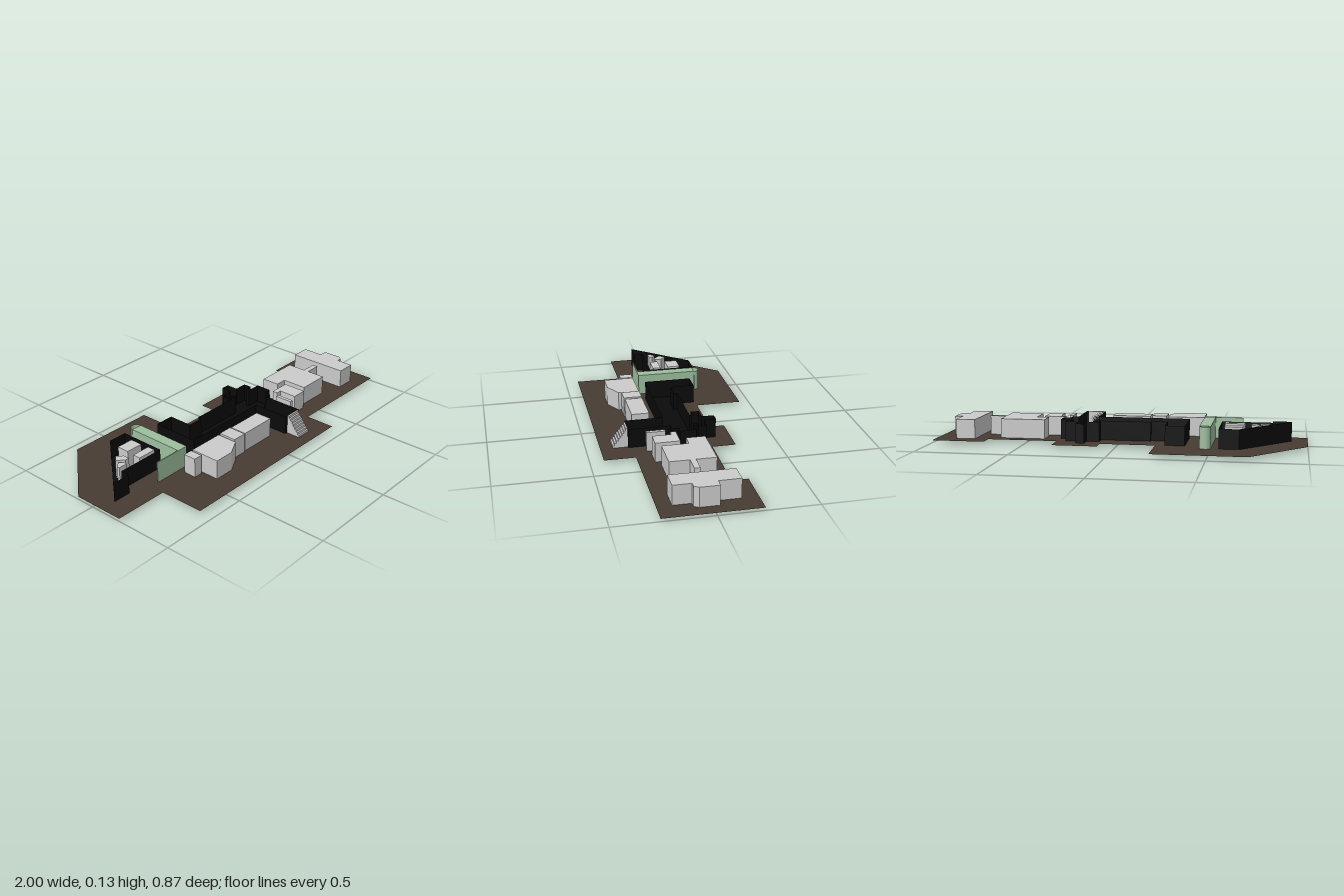
import * as THREE from 'three';

const BASE = 0.015, TOP = 0.12;

const material = (color) =>
  new THREE.MeshStandardMaterial({ color, flatShading: true, side: THREE.DoubleSide });

// Plan outlines are [x, z] pairs
const planShape = (pts) => new THREE.Shape(pts.map(([x, z]) => new THREE.Vector2(x, -z)));
const rect = (x0, x1, z0, z1) => [[x0, z0], [x1, z0], [x1, z1], [x0, z1]];

function addMesh(parent, name, geometry, mat) {
  const mesh = new THREE.Mesh(geometry, mat);
  mesh.name = name;
  parent.add(mesh);
  return mesh;
}

// Upright prism over a plan outline
function prism(parent, name, pts, mat, y0 = BASE, y1 = TOP) {
  const geo = new THREE.ExtrudeGeometry(planShape(pts), { depth: y1 - y0, bevelEnabled: false });
  geo.rotateX(-Math.PI / 2);
  geo.translate(0, y0, 0);
  return addMesh(parent, name, geo, mat);
}

// Roofless room: thin floor plus one wall per outline edge
function openRoom(parent, name, pts, mat) {
  const room = new THREE.Group();
  room.name = name;
  prism(room, 'floor', pts, mat, 0.012, 0.018);
  pts.forEach(([x0, z0], i) => {
    const [x1, z1] = pts[(i + 1) % pts.length];
    const geo = new THREE.PlaneGeometry(Math.hypot(x1 - x0, z1 - z0), TOP - BASE);
    geo.rotateY(-Math.atan2(z1 - z0, x1 - x0));
    geo.translate((x0 + x1) / 2, (BASE + TOP) / 2, (z0 + z1) / 2);
    addMesh(room, 'wall', geo, mat);
  });
  parent.add(room);
}

export function createModel() {
  const model = new THREE.Group();
  model.name = 'sitePlan';
  const grey = material(0xcccccc);
  const black = material(0x0a0a0a);
  const green = material(0x9dbf9e);
  const brown = material(0x483c32);

  // Ground sheet
  const ground = new THREE.ShapeGeometry(planShape([
    [-1, -0.1], [-0.705, -0.44], [-0.21, -0.44], [-0.21, -0.19], [0.085, -0.19], [0.085, -0.27],
    [0.33, -0.27], [0.33, -0.145], [0.71, -0.145], [0.71, -0.23], [1, -0.23], [1, 0.265],
    [0.37, 0.265], [0.37, 0.43], [-0.705, 0.43], [-0.705, 0.185], [-1, 0.185],
  ]));
  ground.rotateX(-Math.PI / 2);
  ground.translate(0, BASE, 0);
  addMesh(model, 'ground', ground, brown);

  // Dark rooms
  openRoom(model, 'cornerRoom', [
    [-0.915, 0.065], [-0.65, -0.24], [-0.545, -0.24], [-0.545, 0.015], [-0.815, 0.015], [-0.815, 0.065],
  ], black);
  openRoom(model, 'mainHall', [
    [-0.365, -0.18], [-0.26, -0.18], [-0.26, -0.045], [-0.17, -0.045], [-0.17, -0.065],
    [0.14, -0.065], [0.14, -0.08], [0.1, -0.08], [0.1, -0.125], [0.17, -0.125], [0.17, -0.19],
    [0.215, -0.19], [0.215, -0.125], [0.285, -0.125], [0.285, -0.08], [0.25, -0.08], [0.25, -0.06],
    [0.325, -0.06], [0.325, 0.025], [0.285, 0.025], [0.285, 0.06], [0.25, 0.06], [0.25, 0.285],
    [0.14, 0.285], [0.14, 0.08], [-0.365, 0.08],
  ], black);

  // Blocks standing inside the corner room
  [
    rect(-0.665, -0.57, -0.165, -0.095),
    rect(-0.67, -0.565, -0.05, -0.005),
    [[-0.765, -0.08], [-0.735, -0.11], [-0.705, -0.08], [-0.705, -0.045], [-0.73, -0.045]],
    [[-0.8, -0.03], [-0.77, -0.055], [-0.75, -0.035], [-0.75, -0.015], [-0.8, -0.015]],
  ].forEach((pts) => prism(model, 'innerBlock', pts, grey));

  // Buildings along the front
  prism(model, 'endShed', rect(-0.5, -0.45, 0.14, 0.21), grey);
  prism(model, 'angledBuilding', [
    [-0.44, 0.14], [-0.24, 0.14], [-0.24, 0.255], [-0.33, 0.305], [-0.44, 0.305],
  ], grey);
  prism(model, 'linkBuilding', rect(-0.23, -0.15, 0.14, 0.24), grey, 0.012, 0.124);
  prism(model, 'longBuilding', rect(-0.14, 0.07, 0.14, 0.235), grey);

  // Buildings on the left side
  prism(model, 'narrowBlock', rect(0.29, 0.31, 0.1, 0.2), grey);
  prism(model, 'smallBuilding', [
    [0.325, 0.05], [0.44, 0.05], [0.44, 0.18], [0.355, 0.18], [0.355, 0.08], [0.325, 0.08],
  ], grey);
  prism(model, 'largeBuilding', [
    [0.41, -0.085], [0.655, -0.085], [0.655, 0.02], [0.745, 0.02], [0.745, 0.05],
    [0.655, 0.05], [0.655, 0.155], [0.475, 0.155], [0.475, 0.015], [0.41, 0.015],
  ], grey);
  prism(model, 'farBuilding', [
    [0.785, -0.145], [0.89, -0.145], [0.89, -0.03], [0.935, -0.03], [0.935, 0.07],
    [0.92, 0.095], [0.89, 0.095], [0.89, 0.19], [0.785, 0.19],
  ], grey);

  // Staircase up to the hall
  const steps = 8;
  for (let i = 0; i < steps; i++) {
    const z0 = 0.285 + i * 0.01;
    const y1 = TOP - i * (TOP - BASE) / steps;
    prism(model, 'step', rect(0.155, 0.24, z0, z0 + 0.01), grey, BASE, y1);
  }

  // Green wall with a rounded, open end and a thin side arm
  prism(model, 'greenWall', rect(-0.505, -0.445, -0.225, 0.1), green, 0, 0.13);
  const round = new THREE.CylinderGeometry(0.03, 0.03, 0.13, 16, 1, true, Math.PI / 2, Math.PI);
  round.translate(-0.475, 0.065, -0.227);
  const end = addMesh(model, 'greenWallEnd', round, green.clone());
  end.material.flatShading = false;
  prism(model, 'greenWallArm', rect(-0.655, -0.445, 0.098, 0.104), green, 0, 0.13);

  return model;
}
